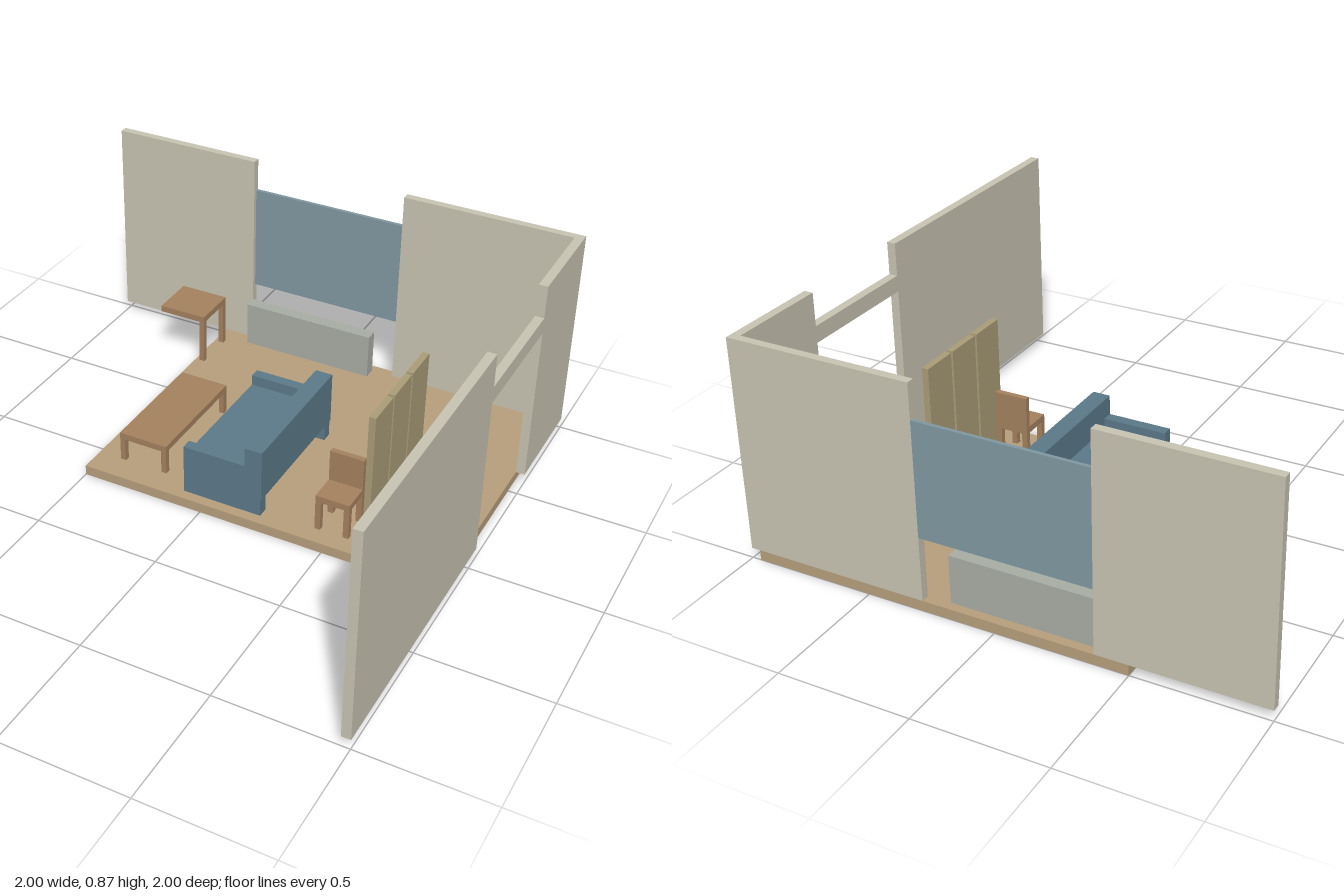
import * as THREE from 'three';

const mat = (color) => new THREE.MeshStandardMaterial({ color });

// Box given by its min and max on each axis
function box(parent, name, material, [x0, x1], [y0, y1], [z0, z1]) {
  const mesh = new THREE.Mesh(new THREE.BoxGeometry(x1 - x0, y1 - y0, z1 - z0), material);
  mesh.position.set((x0 + x1) / 2, (y0 + y1) / 2, (z0 + z1) / 2);
  mesh.name = name;
  parent.add(mesh);
  return mesh;
}

function group(parent, name) {
  const g = new THREE.Group();
  g.name = name;
  parent.add(g);
  return g;
}

export function createModel() {
  const model = new THREE.Group();
  model.name = 'livingRoom';
  const wall = mat(0xc9c5b3), floor = mat(0xb89f7c), wood = mat(0xa5825f);
  const blue = mat(0x5c7a8a), glass = mat(0x8199a3), grey = mat(0xa9aea5), tan = mat(0xab9d78);
  const F = 0.04; // floor level
  const H = 0.865; // wall top

  box(model, 'floor', floor, [-0.5, 0.965], [0, F], [-1, 0.172]);

  // Back wall with its window
  const back = group(model, 'backWall');
  box(back, 'backWallLeft', wall, [0.28, 0.965], [F, H], [-1, -0.968]);
  box(back, 'backWallRight', wall, [-1, -0.373], [F, H], [-1, -0.968]);
  box(back, 'window', glass, [-0.373, 0.28], [0.29, 0.73], [-1, -0.986]);

  // Side wall with a doorway
  const side = group(model, 'sideWall');
  box(side, 'sideWallBack', wall, [0.965, 1], [F, H], [-1, -0.575]);
  box(side, 'sideWallFront', wall, [0.965, 1], [F, H], [-0.07, 1]);
  box(side, 'doorLintel', wall, [0.965, 1], [0.67, 0.735], [-0.575, -0.07]);

  // Low console under the window
  box(model, 'console', grey, [-0.37, 0.19], [F, 0.228], [-0.965, -0.913]);

  // Sofa: seat hung between two arm panels, backrest on the left
  const sofa = group(model, 'sofa');
  box(sofa, 'sofaSeat', blue, [-0.09, 0.165], [0.112, 0.2], [-0.417, 0.087]);
  box(sofa, 'sofaBack', blue, [0.165, 0.235], [0.112, 0.322], [-0.46, 0.13]);
  for (const [z0, z1] of [[-0.46, -0.417], [0.087, 0.13]]) {
    box(sofa, 'sofaArm', blue, [-0.09, 0.165], [F, 0.243], [z0, z1]);
    box(sofa, 'sofaRearFoot', blue, [0.165, 0.231], [F, 0.112], [z0, z1]);
  }

  // Square legs at the ends of the given x and z ranges
  const legs = (parent, name, xs, [z0, z1], top, t) => {
    for (const x of xs) for (const z of [z0, z1 - t])
      box(parent, name, wood, [x, x + t], [F, top], [z, z + t]);
  };

  const coffee = group(model, 'coffeeTable');
  box(coffee, 'coffeeTableTop', wood, [-0.405, -0.203], [0.136, 0.162], [-0.414, 0.067]);
  legs(coffee, 'coffeeTableLeg', [-0.405, -0.225], [-0.414, 0.067], 0.136, 0.022);

  // Side table with legs on one side only
  const sideTable = group(model, 'sideTable');
  box(sideTable, 'sideTableTop', wood, [-0.663, -0.46], [0.227, 0.253], [-0.884, -0.695]);
  legs(sideTable, 'sideTableLeg', [-0.482], [-0.884, -0.695], 0.227, 0.022);

  const chair = group(model, 'chair');
  box(chair, 'chairSeat', wood, [0.438, 0.573], [0.163, 0.189], [-0.033, 0.1]);
  box(chair, 'chairBack', wood, [0.438, 0.573], [0.189, 0.316], [-0.033, -0.011]);
  legs(chair, 'chairLeg', [0.438, 0.551], [-0.033, 0.1], 0.163, 0.022);

  // Folding screen of three panels
  const screen = group(model, 'screen');
  for (let i = 0; i < 3; i++) {
    const z = -0.408 + i * 0.163;
    box(screen, 'screenPanel', tan, [0.614, 0.64], [F, 0.57], [z, z + 0.151]);
  }
  return model;
}
